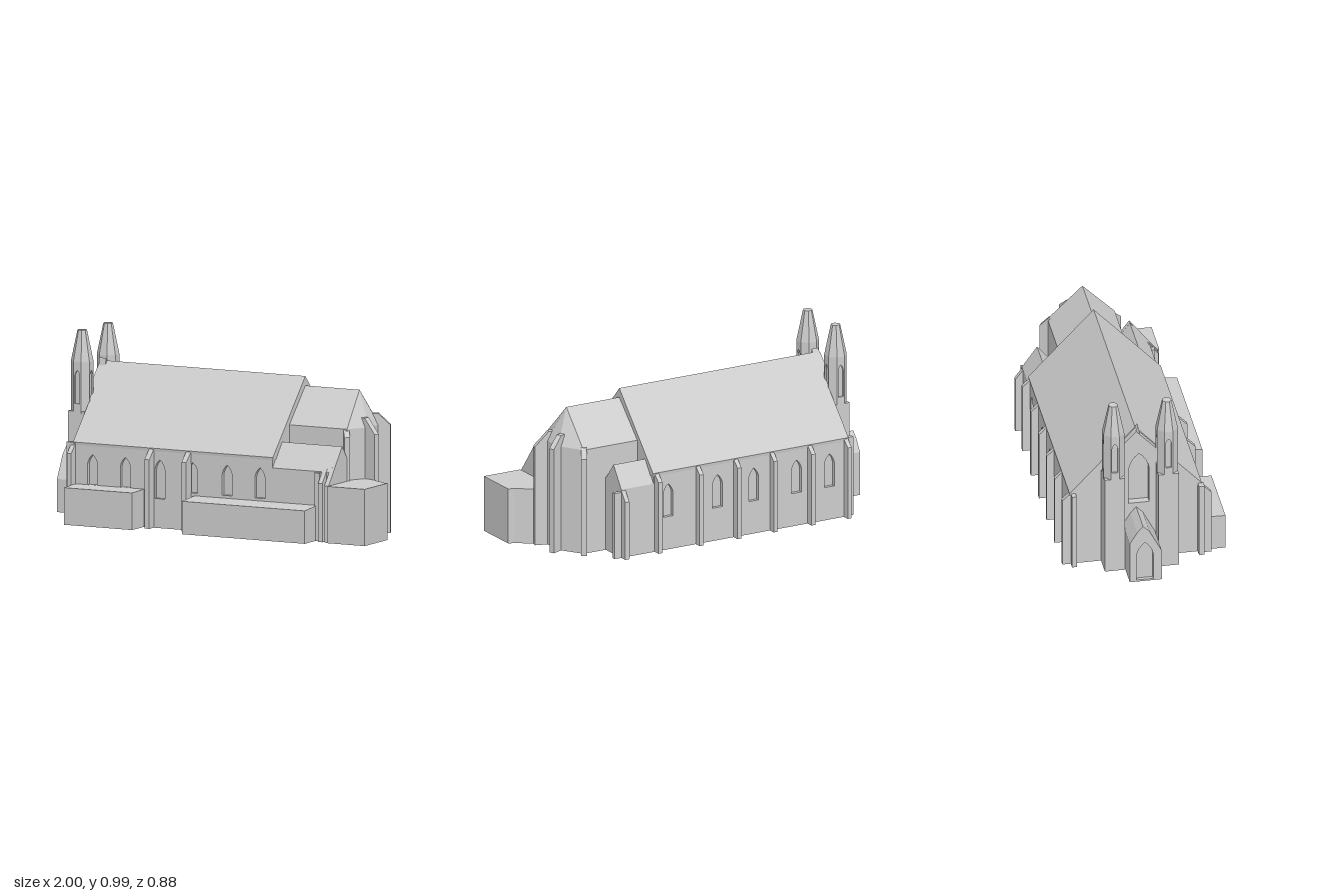
import * as THREE from 'three';
import { ConvexGeometry } from 'three/addons/geometries/ConvexGeometry.js';

const stone = new THREE.MeshStandardMaterial({ color: 0xcccccc });
stone.name = 'stone grey';

export function createModel() {
  const church = new THREE.Group();
  church.name = 'church';

  const add = (name, geometry, parent = church) => {
    const mesh = new THREE.Mesh(geometry, stone);
    mesh.name = name;
    parent.add(mesh);
    return mesh;
  };
  const extrude = (shape, depth) =>
    new THREE.ExtrudeGeometry(shape, { depth, bevelEnabled: false, curveSegments: 4 });

  // Box given by its limits
  const block = (name, x0, x1, y0, y1, z0, z1, parent) => {
    const g = new THREE.BoxGeometry(x1 - x0, y1 - y0, z1 - z0);
    g.translate((x0 + x1) / 2, (y0 + y1) / 2, (z0 + z1) / 2);
    return add(name, g, parent);
  };

  // Cross-section of [z, y] points carried along x, with optional holes
  const prism = (name, profile, x0, x1, holes = []) => {
    const shape = new THREE.Shape(profile.map(([z, y]) => new THREE.Vector2(-z, y)));
    shape.holes.push(...holes);
    const g = extrude(shape, x1 - x0);
    g.rotateY(Math.PI / 2).translate(x0, 0, 0);
    return add(name, g);
  };

  // Pointed window outline
  const lancet = (cx, y0, y1, w) => {
    const h = w / 2, spring = y1 - w * 0.85;
    const p = new THREE.Path();
    p.moveTo(cx - h, y0);
    p.lineTo(cx + h, y0);
    p.lineTo(cx + h, spring);
    p.quadraticCurveTo(cx + h * 0.8, y1 - w * 0.3, cx, y1);
    p.quadraticCurveTo(cx - h * 0.8, y1 - w * 0.3, cx - h, spring);
    p.lineTo(cx - h, y0);
    return p;
  };

  // Flat wall facing z, pierced by windows
  const piercedWall = (w0, w1, y0, y1, depth, holes) => {
    const s = new THREE.Shape();
    s.moveTo(w0, y0);
    s.lineTo(w1, y0);
    s.lineTo(w1, y1);
    s.lineTo(w0, y1);
    s.closePath();
    s.holes.push(...holes);
    return extrude(s, depth);
  };

  // Nave: inner core, window walls and roof
  const RZ = -0.055, RY = 0.805;
  prism('naveCore', [[-0.38, 0], [0.28, 0], [0.28, 0.415], [-0.38, 0.425]], -0.76, 0.42);
  prism('naveRoof', [[-0.4, 0.415], [0.3, 0.405], [0.302, 0.42], [RZ, RY], [-0.402, 0.432]], -0.765, 0.423);
  const frontWindows = [-0.65, -0.455, -0.25, -0.055, 0.15, 0.345]
    .map((x) => lancet(x, x === -0.25 ? 0.155 : 0.2, 0.36, 0.06));
  add('naveFrontWall', piercedWall(-0.76, 0.42, 0, 0.41, 0.02, frontWindows)).position.z = 0.28;
  const backWindows = [-0.65, -0.45, -0.19, 0.03, 0.33].map((x) => lancet(x, 0.18, 0.36, 0.06));
  add('naveBackWall', piercedWall(-0.76, 0.42, 0, 0.42, 0.02, backWindows)).position.z = -0.4;

  // Nave buttresses with tops following the roof slope
  for (const x of [-0.75, -0.53, -0.3, -0.08, 0.15, 0.4]) {
    prism('backButtress', [[-0.44, 0], [-0.395, 0], [-0.395, 0.433], [-0.44, 0.39]], x - 0.012, x + 0.012);
  }
  prism('backAisleButtress', [[-0.44, 0], [-0.395, 0], [-0.395, 0.375], [-0.44, 0.315]], 0.59, 0.615);
  for (const x of [-0.3, -0.08]) {
    prism('frontButtress', [[0.295, 0], [0.35, 0], [0.35, 0.365], [0.295, 0.42]], x - 0.014, x + 0.014);
  }
  prism('frontCornerButtress', [[0.295, 0], [0.35, 0], [0.35, 0.365], [0.295, 0.42]], -0.775, -0.75);
  block('westCornerButtress', -0.8, -0.755, 0, 0.42, 0.28, 0.31);
  block('westCornerButtress', -0.8, -0.755, 0, 0.43, -0.395, -0.37);

  // Side aisles of the chancel, each with its own small gable
  prism('frontAisle', [[0.1, 0], [0.3, 0], [0.3, 0.365], [0.2, 0.49], [0.125, 0.395], [0.1, 0.395]], 0.42, 0.765);
  prism('frontAisleGable', [[0.13, 0], [0.35, 0], [0.35, 0.3], [0.2, 0.492], [0.13, 0.4]], 0.755, 0.78);
  prism('frontAisleButtress', [[0.29, 0], [0.345, 0], [0.345, 0.31], [0.29, 0.38]], 0.715, 0.74);
  block('frontAislePier', 0.68, 0.71, 0, 0.36, 0.29, 0.32);
  prism('backAisle', [[-0.4, 0], [-0.22, 0], [-0.22, 0.4], [-0.245, 0.4], [-0.32, 0.49], [-0.4, 0.375]], 0.42, 0.615);
  block('backAisleEndButtress', 0.61, 0.655, 0, 0.36, -0.4, -0.375);

  // Chancel with polygonal apse and hipped roof
  const plan = [[0.42, -0.24], [0.75, -0.24], [0.83, -0.115], [0.83, 0.0], [0.765, 0.12], [0.42, 0.12]];
  const hull = plan.flatMap(([x, z]) => [new THREE.Vector3(x, 0, z), new THREE.Vector3(x, 0.57, z)]);
  hull.push(new THREE.Vector3(0.4, 0.755, RZ), new THREE.Vector3(0.745, 0.755, RZ));
  add('chancel', new ConvexGeometry(hull));

  // Apse buttresses, set at the corners and pointing outwards
  for (const [x, z, angle, len, low, high] of [
    [0.745, -0.235, 1.05, 0.045, 0.53, 0.58],
    [0.825, -0.115, 0.4, 0.065, 0.57, 0.63],
    [0.82, 0.005, -0.3, 0.075, 0.54, 0.62],
    [0.755, 0.11, -0.95, 0.045, 0.53, 0.57],
  ]) {
    const s = new THREE.Shape([[-0.03, 0], [len, 0], [len, low], [0, high], [-0.03, high]]
      .map(([a, b]) => new THREE.Vector2(a, b)));
    const g = extrude(s, 0.03);
    g.translate(0, 0, -0.015).rotateY(angle);
    add('apseButtress', g).position.set(x, 0, z);
  }

  // Vestry: flat-topped block with a canted inner corner
  const vestry = new THREE.Shape([[0.78, 0.36], [1, 0.36], [1, 0.11], [0.97, 0.1], [0.89, 0.045], [0.8, 0.01], [0.76, 0.1]]
    .map(([x, z]) => new THREE.Vector2(x, -z)));
  add('vestry', extrude(vestry, 0.3).rotateX(-Math.PI / 2));

  // Low outbuildings along the front
  prism('leftOutbuilding', [[0.29, 0], [0.43, 0], [0.43, 0.196], [0.29, 0.2]], -0.75, -0.345);
  prism('rightOutbuilding', [[0.29, 0], [0.437, 0], [0.437, 0.174], [0.29, 0.186]], -0.045, 0.685);

  // West front between the towers, with a recessed window
  prism('westFront', [[-0.2, 0], [0.12, 0], [0.12, 0.61], [RZ, 0.797], [-0.2, 0.64]], -0.8, -0.76,
    [lancet(0.04, 0.36, 0.66, 0.11)]);
  prism('gableFinial', [[-0.065, 0.78], [-0.035, 0.78], [-0.042, 0.82]], -0.795, -0.755);

  // Porch with gabled roof and pointed doorway
  const porch = [[-0.125, 0], [0.045, 0], [0.045, 0.175], [-0.02, 0.3], [-0.055, 0.335], [-0.085, 0.3], [-0.125, 0.235]];
  prism('porch', porch, -0.98, -0.78);
  prism('porchFront', porch, -1, -0.98, [lancet(0.045, 0.01, 0.235, 0.09)]);

  // Pair of octagonal turrets on square bases
  const R = 1 / Math.cos(Math.PI / 8);
  const octagon = (top, bottom, y0, y1) => {
    const g = new THREE.CylinderGeometry(top * R, bottom * R, y1 - y0, 8).toNonIndexed();
    g.rotateY(Math.PI / 8).translate(0, (y0 + y1) / 2, 0);
    g.computeVertexNormals();
    return g;
  };
  for (const z of [-0.18, 0.105]) {
    const turret = new THREE.Group();
    turret.name = 'turret';
    turret.position.set(-0.817, 0, z);
    church.add(turret);
    block('turretBase', -0.055, 0.057, 0, 0.56, -0.054, 0.054, turret);
    add('turretCore', octagon(0.046, 0.046, 0.5, 0.82), turret);
    const half = 0.055 * Math.tan(Math.PI / 8);
    for (let i = 0; i < 8; i++) {
      const holes = i % 2 ? [] : [lancet(0, 0.6, 0.775, 0.03)];
      const g = piercedWall(-half, half, 0.55, 0.82, 0.009, holes);
      g.translate(0, 0, 0.046).rotateY((i * Math.PI) / 4);
      add('turretPanel', g, turret);
    }
    add('turretSpire', octagon(0.023, 0.055, 0.82, 0.985), turret);
  }

  return church;
}
